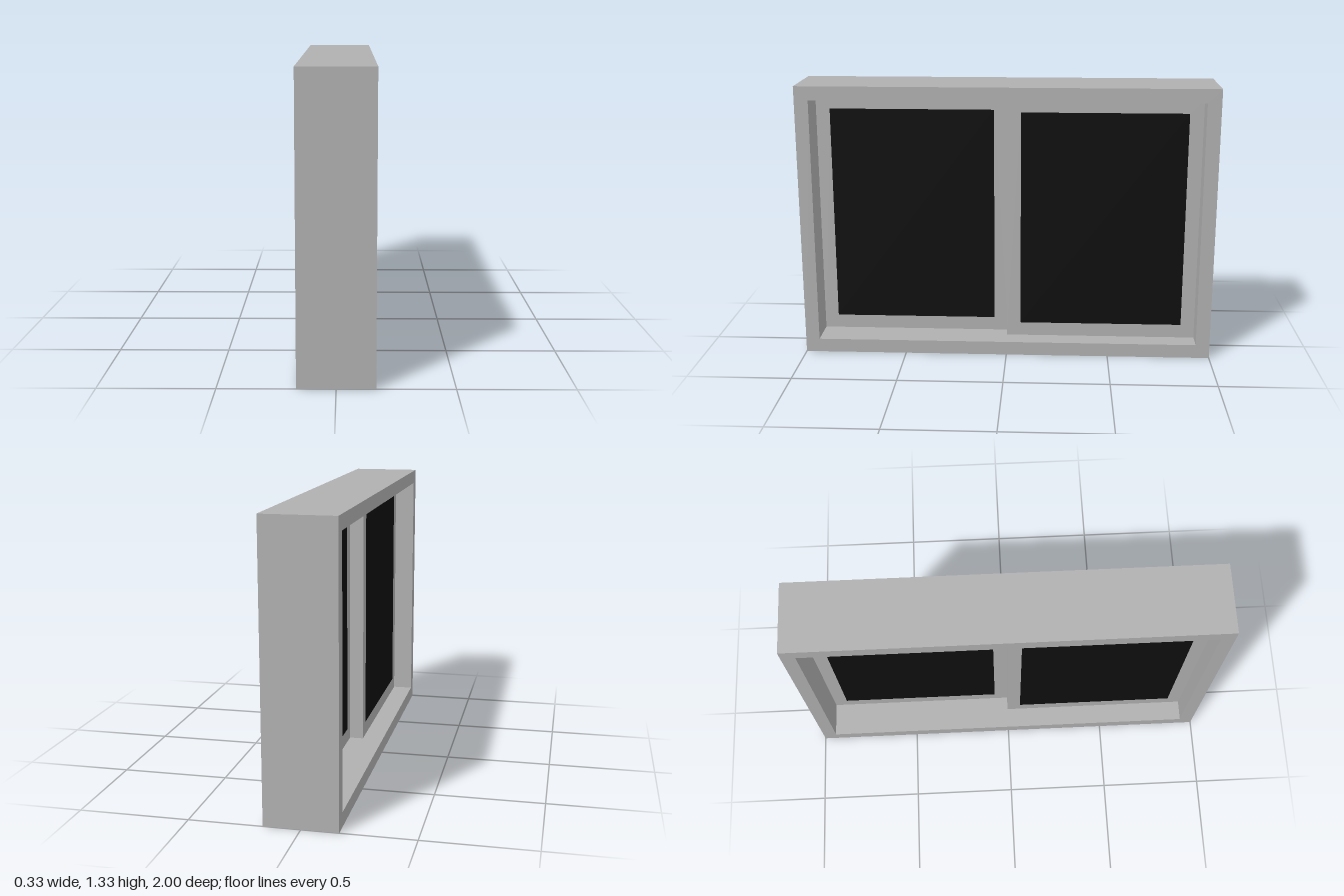
import * as THREE from 'three';

const T = 1 / 15; // width of every frame bar

// Rectangular ring in the z-y plane, thickness along x, centred on its origin
function ring(width, height, bar, depth) {
  const w = width / 2, h = height / 2;
  const rect = (a, b) => [[-a, -b], [a, -b], [a, b], [-a, b]].map(p => new THREE.Vector2(...p));
  const shape = new THREE.Shape(rect(w, h));
  shape.holes.push(new THREE.Path(rect(w - bar, h - bar).reverse()));
  const g = new THREE.ExtrudeGeometry(shape, { depth, bevelEnabled: false });
  g.translate(0, 0, -depth / 2);
  g.rotateY(Math.PI / 2);
  return g;
}

export function createModel() {
  const frameGrey = new THREE.MeshStandardMaterial({ name: 'frameGrey', color: 0xb0b0b0 });
  const glassBlack = new THREE.MeshStandardMaterial({ name: 'glassBlack', color: 0x0e0e0e });
  const group = new THREE.Group();
  group.name = 'slidingWindow';

  const add = (parent, name, geometry, material) => {
    const mesh = new THREE.Mesh(geometry, material);
    mesh.name = name;
    parent.add(mesh);
    return mesh;
  };

  // Deep outer frame
  const height = 20 * T;
  add(group, 'outerFrame', ring(2, height, T, 5 * T), frameGrey).position.y = height / 2;

  // Two sliding sashes, one behind the other, with panes flush to their frames
  const sashW = 14 * T, sashH = 18 * T;
  for (const [name, side] of [['frontSash', 1], ['backSash', -1]]) {
    const sash = new THREE.Group();
    sash.name = name;
    add(sash, 'sashFrame', ring(sashW, sashH, T, T), frameGrey);
    add(sash, 'glassPane', new THREE.BoxGeometry(T, sashH - 2 * T, sashW - 2 * T), glassBlack);
    sash.position.set(-side * T / 2, height / 2, side * sashW / 2);
    group.add(sash);
  }
  return group;
}
